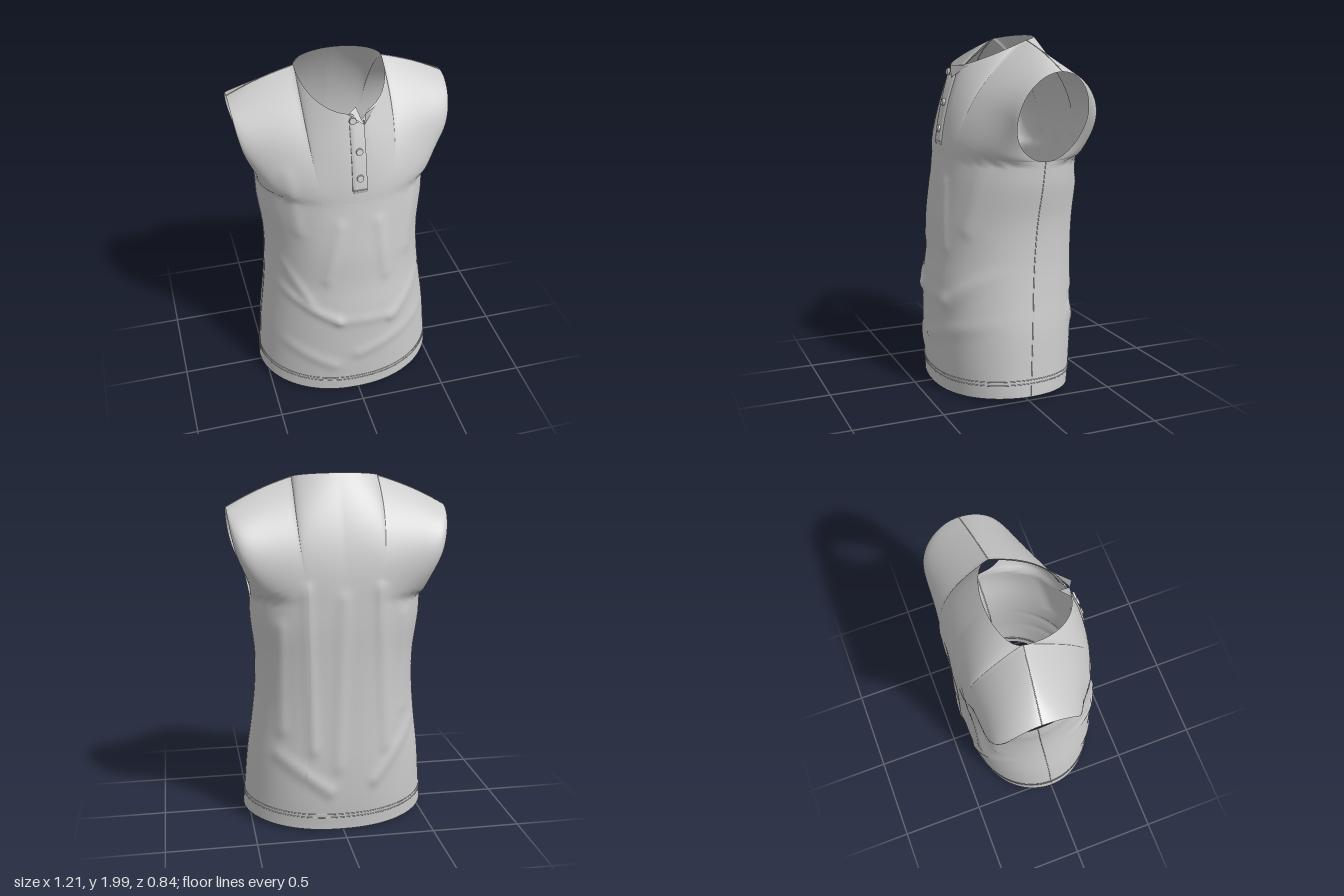
import * as THREE from 'three';
import { mergeGeometries, mergeVertices } from 'three/addons/utils/BufferGeometryUtils.js';

const ARM_LOW = 1.34, ARM_TOP = 1.82, SIDE_HEM = 0.045;
const cloth = new THREE.MeshStandardMaterial({ color: 0xcccccc, roughness: 0.85, side: THREE.DoubleSide });

// Smooth value from a table with one entry every 0.2 units of height
function table(values, y) {
  const f = THREE.MathUtils.clamp(y / 0.2, 0, values.length - 1.0001);
  const i = Math.floor(f), t = f - i;
  const at = k => values[THREE.MathUtils.clamp(k, 0, values.length - 1)];
  const m0 = (at(i + 1) - at(i - 1)) / 2, m1 = (at(i + 2) - at(i)) / 2;
  const t2 = t * t, t3 = t2 * t;
  return at(i) * (2 * t3 - 3 * t2 + 1) + m0 * (t3 - 2 * t2 + t) + at(i + 1) * (3 * t2 - 2 * t3) + m1 * (t3 - t2);
}

const halfWidth = y => table([0.537, 0.522, 0.505, 0.478, 0.458, 0.455, 0.478, 0.49, 0.565, 0.6, 0.6], y);
const frontDepth = y => table([0.39, 0.4, 0.407, 0.408, 0.387, 0.378, 0.357, 0.338], y);
const backDepth = y => table([0.385, 0.4, 0.405, 0.402, 0.4, 0.402, 0.408, 0.408], y);
const seamZ = y => -0.1 * Math.pow(Math.max(0, y) / ARM_LOW, 1.3);
const hemY = u => 0.01 + (SIDE_HEM - 0.01) * u * u;

// Cloth folds: x1, y1, x2, y2, height, width
const frontFolds = [
  [-0.44, 0.95, -0.28, 0.7, 0.014, 0.03], [-0.42, 0.72, -0.12, 0.57, 0.016, 0.03],
  [-0.12, 0.57, 0.2, 0.55, 0.008, 0.035], [0.45, 0.74, 0.2, 0.53, 0.014, 0.035],
  [0.45, 0.45, 0, 0.3, 0.01, 0.04], [-0.1, 1.2, -0.18, 0.85, 0.009, 0.035],
  [0.12, 1.2, 0.16, 0.85, 0.009, 0.035], [0.36, 1.3, 0.3, 0.95, 0.01, 0.035],
  [-0.36, 1.5, -0.32, 1.15, 0.01, 0.035], [-0.4, 0.35, -0.15, 0.22, 0.01, 0.04]];
const backFolds = [
  [-0.2, 1.4, -0.25, 0.5, 0.011, 0.035], [0, 1.35, 0.03, 0.4, 0.009, 0.04],
  [0.2, 1.4, 0.17, 0.5, 0.011, 0.035], [0.34, 1.2, 0.34, 0.6, 0.012, 0.03],
  [-0.35, 1.25, -0.36, 0.7, 0.01, 0.03], [0.08, 0.25, 0.36, 0.46, 0.014, 0.035],
  [-0.42, 0.6, -0.18, 0.3, 0.013, 0.035]];

function foldHeight(folds, x, y) {
  let h = 0;
  for (const [x1, y1, x2, y2, height, width] of folds) {
    const dx = x2 - x1, dy = y2 - y1;
    const k = ((x - x1) * dx + (y - y1) * dy) / (dx * dx + dy * dy);
    const c = THREE.MathUtils.clamp(k, 0, 1);
    const d2 = (x - x1 - c * dx) ** 2 + (y - y1 - c * dy) ** 2;
    h += height * Math.exp(-d2 / (width * width));
  }
  return h;
}

// Top border of a panel: neckline in the middle, shoulder seam outside it
function topEdge(u, front) {
  const a = Math.abs(u);
  if (a >= 0.4) {
    const s = (a - 0.4) / 0.6;
    return { y: 1.975 - 0.155 * s + 0.012 * Math.sin(Math.PI * s), z: -0.09 - 0.04 * s };
  }
  const c = Math.sqrt(1 - (a / 0.4) ** 2);
  if (!front) return { y: 1.975 + 0.025 * c, z: -0.09 - 0.11 * c };
  const notch = 0.05 * Math.max(0, 1 - Math.abs(u * 0.6 - 0.035) / 0.045);
  return { y: 1.975 - 0.145 * c - notch, z: -0.09 + 0.34 * c };
}

// Point of the shirt: u runs from side to side, y is the height
function surface(u, y, front, lift = 0) {
  const a = Math.min(1, Math.abs(u)), low = Math.min(y, ARM_LOW), top = topEdge(u, front);
  const t = THREE.MathUtils.clamp((y - ARM_LOW) / (top.y - ARM_LOW), 0, 1);
  const sign = front ? 1 : -1;
  const depth = front ? frontDepth(low) : -backDepth(low);
  const power = front ? 2.2 : 2.4 + 0.6 * low / ARM_LOW;
  const round = 0.5 + (front ? 0.3 * THREE.MathUtils.smoothstep(2 * t, 0, 1) : 0);
  const base = seamZ(low) + (depth - seamZ(low)) * Math.pow(Math.max(0, 1 - Math.pow(a, power)), round);
  const drop = Math.pow(t, front ? 1.6 + 1.4 * a : 2.2 + 1.2 * a);
  const armhole = sign * 0.2 * Math.sqrt(Math.max(0, 1 - (2 * t - 1) ** 2)) * a ** 4;
  const x = u * halfWidth(y);
  const fold = foldHeight(front ? frontFolds : backFolds, x, y) * (1 - a ** 6) * (1 - t);
  return new THREE.Vector3(x, y, base + (top.z - base) * drop + armhole + sign * (fold + lift));
}

// Grid of points (rows of equal length) as a surface
function gridGeometry(rows, flip = false) {
  const n = rows[0].length, index = [];
  for (let r = 0; r < rows.length - 1; r++) {
    for (let c = 0; c < n - 1; c++) {
      const p = r * n + c, q = p + n;
      if (flip) index.push(p, q, p + 1, p + 1, q, q + 1);
      else index.push(p, p + 1, q, p + 1, q + 1, q);
    }
  }
  const g = new THREE.BufferGeometry().setFromPoints(rows.flat());
  g.setIndex(index);
  return g;
}

// Columns crowd towards the neck corners and the sides
const half = [];
for (let i = 0; i <= 24; i++) half.push(0.4 * Math.sin(i / 24 * Math.PI / 2));
for (let i = 1; i <= 24; i++) half.push(0.4 + 0.6 * Math.sin(i / 24 * Math.PI / 2));
const columns = [...half.slice(1).reverse().map(u => -u), ...half];

// Rows crowd towards both ends of the armhole
const heights = [];
for (let i = 0; i <= 60; i++) heights.push(SIDE_HEM + (ARM_LOW - SIDE_HEM) * i / 60);
for (let i = 1; i <= 30; i++) heights.push(ARM_LOW + (ARM_TOP - ARM_LOW) * (1 - Math.cos(i / 30 * Math.PI)) / 2);

function panel(front) {
  const rows = heights.map(h => columns.map(u => {
    const f = (h - SIDE_HEM) / (ARM_TOP - SIDE_HEM), bottom = hemY(u);
    return surface(u, bottom + (topEdge(u, front).y - bottom) * f, front);
  }));
  return gridGeometry(rows, !front);
}

export function createModel() {
  const shirt = new THREE.Group();
  shirt.name = 'sleevelessShirt';
  const add = (geometry, name) => {
    const mesh = new THREE.Mesh(geometry, cloth);
    mesh.name = name;
    shirt.add(mesh);
    return mesh;
  };
  const thread = (points, name, closed = false) =>
    add(new THREE.TubeGeometry(new THREE.CatmullRomCurve3(points, closed), points.length * 2, 0.0025, 5, closed), name);

  // Front and back joined along the side and shoulder seams
  const body = mergeVertices(mergeGeometries([panel(true), panel(false)]), 1e-4);
  body.computeVertexNormals();
  add(body, 'body');

  // Double stitching above the hem
  for (const rise of [0.075, 0.095]) {
    const ring = columns.map(u => surface(u, hemY(u) + rise, true));
    ring.push(...columns.slice(1, -1).reverse().map(u => surface(u, hemY(u) + rise, false)));
    thread(ring, 'hemStitch', true);
  }

  // Side and shoulder seams
  for (const s of [-1, 1]) {
    thread(heights.slice(0, 61).filter((h, i) => i % 3 === 0).map(h => surface(s, h, true)), 'sideSeam');
    thread(half.slice(24).map(u => surface(s * u, topEdge(u, true).y, true)), 'shoulderSeam');
  }

  // Button placket with turned-down edges
  const strip = [];
  const profile = [[-0.031, -0.002], [-0.03, 0.008], [-0.01, 0.009], [0.01, 0.009], [0.03, 0.009], [0.049, 0.008], [0.05, -0.002]];
  for (let i = 0; i <= 20; i++) {
    const y = 1.395 + 0.39 * i / 20;
    strip.push(profile.map(([x, lift]) => surface(x / halfWidth(y), y, true, i === 0 ? -0.002 : lift)));
  }
  const placket = gridGeometry(strip);
  placket.computeVertexNormals();
  add(placket, 'placket');
  thread([-0.03, -0.01, 0.01, 0.03, 0.05].map(x => surface(x / halfWidth(1.42), 1.42, true, 0.009)), 'placketStitch');

  // Buttons
  for (const [x, y] of [[0.01, 1.49], [0.012, 1.635], [-0.015, 1.8]]) {
    const button = add(new THREE.CylinderGeometry(0.018, 0.02, 0.012, 20), 'button');
    button.position.copy(surface(x / halfWidth(y), y, true, 0.014));
    button.rotation.x = Math.PI / 2 - 0.2;
  }

  // Open collar corners above the placket
  const flaps = [
    [[0.045, 1.77, 0.275], [0.13, 1.838, 0.205], [0.05, 1.84, 0.28]],
    [[-0.035, 1.83, 0.252], [0.045, 1.77, 0.272], [0.02, 1.84, 0.2]]];
  for (const corners of flaps) {
    const flap = new THREE.BufferGeometry().setFromPoints(corners.map(c => new THREE.Vector3(...c)));
    flap.computeVertexNormals();
    add(flap, 'collarCorner');
  }
  return shirt;
}
